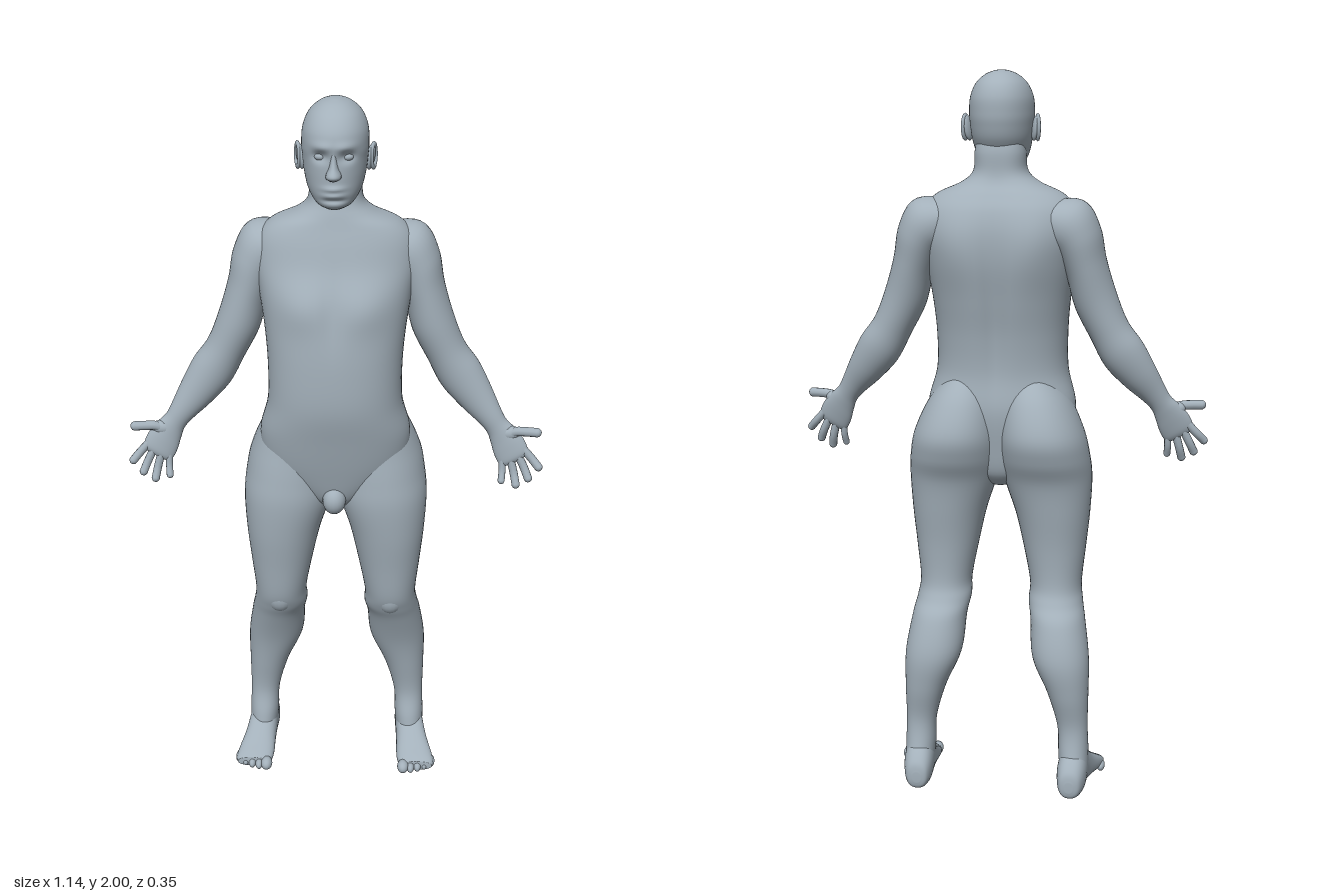
import * as THREE from 'three';

const skin = new THREE.MeshStandardMaterial({ color: 0xa3b0ba });
skin.name = 'blue grey clay';

const bell = (d, w) => Math.exp(-(d * d) / (w * w));

// Catmull-Rom blend of the station rows at parameter t
function sample(rows, t) {
  const n = rows.length - 1;
  const i = Math.min(Math.floor(t), n - 1), f = t - i;
  const a = rows[Math.max(i - 1, 0)], b = rows[i], c = rows[i + 1], d = rows[Math.min(i + 2, n)];
  return b.map((v, k) => v + 0.5 * f * (c[k] - a[k] +
    f * (2 * a[k] - 5 * v + 4 * c[k] - d[k] + f * (3 * (v - c[k]) + d[k] - a[k]))));
}

// Section shapes: each turns a station row and a direction on the ring into a point
const level = ([y, x0, x1, zf, zb], c, s) =>
  [(x0 + x1) / 2 + c * (x1 - x0) / 2, y, (zf + zb) / 2 + s * (zf - zb) / 2];
const tilted = ([x, y, z, ru, rv, deg], c, s) => {
  const t = deg * Math.PI / 180;
  return [x + c * ru * Math.cos(t), y + c * ru * Math.sin(t), z + s * rv];
};
const upright = ([z, x, hw, y0, y1], c, s) => [x + c * hw, (y0 + y1) / 2 + s * (y1 - y0) / 2, z];

// Closed smooth skin over the sections; side = -1 mirrors it
function loft(name, rows, section, { side = 1, ring = 36, steps = 6, power = 1, shape } = {}) {
  const pos = [], idx = [], count = (rows.length - 1) * steps;
  const soft = v => Math.sign(v) * Math.abs(v) ** power;
  for (let j = 0; j <= count; j++) {
    const row = sample(rows, j / steps);
    for (let i = 0; i < ring; i++) {
      const a = i / ring * Math.PI * 2;
      const p = section(row, soft(Math.cos(a)), soft(Math.sin(a)));
      if (shape) shape(p, Math.sin(a));
      pos.push(p[0] * side, p[1], p[2]);
      if (j < count) {
        const q = j * ring + i, r = j * ring + (i + 1) % ring;
        idx.push(q, r, q + ring, r, r + ring, q + ring);
      }
    }
  }
  // end caps
  for (const j of [0, count]) {
    const m = [0, 0, 0], centre = pos.length / 3;
    for (let i = 0; i < ring; i++) for (let k = 0; k < 3; k++) m[k] += pos[(j * ring + i) * 3 + k] / ring;
    pos.push(...m);
    for (let i = 0; i < ring; i++) {
      const q = j * ring + i, r = j * ring + (i + 1) % ring;
      idx.push(...(j ? [q, r, centre] : [r, q, centre]));
    }
  }
  // turn the faces outward if the enclosed volume is negative
  let volume = 0;
  const at = i => new THREE.Vector3().fromArray(pos, i * 3);
  for (let i = 0; i < idx.length; i += 3) volume += at(idx[i]).dot(at(idx[i + 1]).cross(at(idx[i + 2])));
  if (volume < 0) idx.reverse();
  const g = new THREE.BufferGeometry();
  g.setAttribute('position', new THREE.Float32BufferAttribute(pos, 3));
  g.setIndex(idx);
  g.computeVertexNormals();
  const mesh = new THREE.Mesh(g, skin);
  mesh.name = name;
  return mesh;
}

function blob(name, p, r, turn = [0, 0, 0]) {
  const mesh = new THREE.Mesh(new THREE.SphereGeometry(1, 20, 14), skin);
  mesh.name = name;
  mesh.position.set(...p);
  mesh.scale.set(...r);
  mesh.rotation.set(...turn);
  return mesh;
}

// Tapered digit with a rounded tip
function digit(name, points, r) {
  const curve = new THREE.CatmullRomCurve3(points.map(p => new THREE.Vector3(...p)));
  const g = new THREE.TubeGeometry(curve, 12, r, 10);
  const tip = new THREE.Mesh(new THREE.SphereGeometry(r, 10, 8), skin);
  tip.position.copy(curve.getPoint(1));
  tip.name = name + 'Tip';
  const mesh = new THREE.Mesh(g, skin);
  mesh.name = name;
  mesh.add(tip);
  return mesh;
}

const symmetric = rows => rows.map(([y, w, zf, zb]) => [y, -w, w, zf, zb]);

export function createModel() {
  const model = new THREE.Group();
  model.name = 'figure';

  // Trunk and neck, with chest, shoulder blades and spine groove
  model.add(loft('torso', symmetric([
    [0.88, 0.03, 0.07, -0.04], [0.92, 0.1, 0.1, -0.08], [1.0, 0.185, 0.125, -0.1],
    [1.1, 0.205, 0.15, -0.115], [1.2, 0.182, 0.172, -0.108], [1.3, 0.18, 0.175, -0.118],
    [1.4, 0.188, 0.168, -0.138], [1.5, 0.203, 0.148, -0.155], [1.58, 0.215, 0.118, -0.155],
    [1.64, 0.205, 0.1, -0.14], [1.68, 0.17, 0.087, -0.115], [1.71, 0.105, 0.078, -0.092],
    [1.74, 0.073, 0.068, -0.082], [1.79, 0.068, 0.055, -0.08], [1.83, 0.06, 0.04, -0.07],
  ]), level, {
    ring: 64, power: 0.88, shape: (p, s) => {
      const x = Math.abs(p[0]), y = p[1];
      if (s > 0) p[2] += s * (0.014 * bell(x - 0.09, 0.07) * bell(y - 1.485, 0.06) - 0.006 * bell(x, 0.02) * bell(y - 1.48, 0.1));
      else p[2] += s * (0.012 * bell(x - 0.11, 0.06) * bell(y - 1.55, 0.1) - 0.018 * bell(x, 0.03) * bell(y - 1.36, 0.25));
    },
  }));

  // Head with brow, eye sockets, cheeks and lips
  model.add(loft('head', symmetric([
    [1.737, 0.025, 0.105, 0.02], [1.75, 0.048, 0.123, -0.01], [1.78, 0.068, 0.129, -0.055],
    [1.82, 0.079, 0.131, -0.085], [1.86, 0.084, 0.132, -0.098], [1.89, 0.086, 0.135, -0.102],
    [1.93, 0.083, 0.128, -0.1], [1.965, 0.068, 0.103, -0.083], [1.988, 0.043, 0.068, -0.052],
    [1.998, 0.018, 0.036, -0.022], [2.0, 0.003, 0.016, 0],
  ]), level, {
    ring: 72, steps: 10, power: 0.95, shape: (p, s) => {
      if (s < 0) return;
      const x = Math.abs(p[0]), y = p[1];
      p[2] += s * (0.006 * bell(x - 0.03, 0.03) * bell(y - 1.9, 0.011)
        - 0.014 * bell(x - 0.035, 0.02) * bell(y - 1.875, 0.014)
        + 0.007 * bell(x, 0.026) * (bell(y - 1.795, 0.007) + bell(y - 1.778, 0.007))
        - 0.006 * bell(x, 0.03) * bell(y - 1.764, 0.006));
    },
  }));
  model.add(loft('nose', symmetric([
    [1.892, 0.008, 0.133, 0.1], [1.87, 0.009, 0.138, 0.1], [1.85, 0.012, 0.148, 0.1],
    [1.833, 0.019, 0.16, 0.1], [1.824, 0.019, 0.157, 0.1], [1.818, 0.012, 0.145, 0.1],
  ]), level, { ring: 20 }));

  // Groin
  model.add(blob('groin', [0, 0.92, 0.1], [0.032, 0.04, 0.034]));

  for (const side of [1, -1]) {
    const tag = side > 0 ? 'left' : 'right';
    const m = p => [p[0] * side, p[1], p[2]];

    // Eye and ear
    model.add(blob(tag + 'Eye', m([0.034, 1.873, 0.107]), [0.015, 0.01, 0.013]));
    model.add(blob(tag + 'Ear', m([0.09, 1.85, 0.006]), [0.009, 0.034, 0.019], [-0.15, side * -0.35, side * -0.15]));
    const rim = new THREE.Mesh(new THREE.TorusGeometry(0.018, 0.005, 8, 24), skin);
    rim.name = tag + 'EarRim';
    rim.position.set(side * 0.097, 1.852, 0.004);
    rim.rotation.set(0, side * (Math.PI / 2 - 0.35), 0);
    rim.scale.set(0.85, 1.6, 1);
    model.add(rim);

    // Shoulder, arm and palm
    model.add(loft(tag + 'Arm', [
      [0.11, 1.625, -0.04, 0.04, 0.07, 70], [0.175, 1.605, -0.04, 0.078, 0.088, 52],
      [0.212, 1.56, -0.037, 0.069, 0.088, 32], [0.234, 1.49, -0.03, 0.058, 0.08, 23],
      [0.26, 1.4, -0.022, 0.059, 0.07, 22], [0.297, 1.32, -0.02, 0.055, 0.06, 26],
      [0.337, 1.255, -0.017, 0.06, 0.055, 33], [0.38, 1.195, -0.006, 0.05, 0.044, 35],
      [0.42, 1.143, 0.009, 0.036, 0.031, 37], [0.44, 1.115, 0.016, 0.032, 0.025, 38],
      [0.457, 1.09, 0.022, 0.039, 0.022, 37], [0.474, 1.06, 0.029, 0.046, 0.019, 35],
      [0.488, 1.033, 0.035, 0.045, 0.015, 32], [0.494, 1.02, 0.037, 0.036, 0.008, 30],
    ], tilted, { side }));

    // Fingers and thumb
    const digits = {
      Index: [[0.513, 1.055, 0.033], [0.54, 1.026, 0.04], [0.557, 1.007, 0.05]],
      Middle: [[0.499, 1.04, 0.035], [0.519, 1.0, 0.042], [0.53, 0.974, 0.052]],
      Ring: [[0.479, 1.03, 0.036], [0.491, 0.985, 0.043], [0.497, 0.956, 0.055]],
      Little: [[0.458, 1.025, 0.035], [0.459, 0.99, 0.041], [0.457, 0.965, 0.052]],
      Thumb: [[0.46, 1.085, 0.025], [0.49, 1.105, 0.034], [0.518, 1.108, 0.04], [0.548, 1.108, 0.045]],
    };
    for (const [name, path] of Object.entries(digits))
      model.add(digit(tag + name, path.map(m), name === 'Thumb' ? 0.013 : name === 'Little' ? 0.0095 : 0.0115));
    model.add(blob(tag + 'ThumbBase', m([0.476, 1.098, 0.028]), [0.03, 0.02, 0.017], [0, 0, side * 0.15]));

    // Buttock, thigh, knee, calf and ankle
    model.add(loft(tag + 'Leg', [
      [1.2, 0.05, 0.13, 0.06, -0.075], [1.13, 0.015, 0.19, 0.1, -0.135],
      [1.04, 0.003, 0.233, 0.112, -0.17], [0.97, 0.002, 0.249, 0.12, -0.157],
      [0.9, 0.01, 0.255, 0.124, -0.125], [0.8, 0.042, 0.25, 0.115, -0.105],
      [0.7, 0.065, 0.24, 0.1, -0.09], [0.6, 0.084, 0.23, 0.085, -0.086],
      [0.55, 0.083, 0.235, 0.066, -0.103], [0.5, 0.092, 0.245, 0.04, -0.135],
      [0.4, 0.102, 0.26, 0, -0.16], [0.3, 0.145, 0.261, -0.025, -0.15],
      [0.2, 0.174, 0.26, -0.04, -0.13], [0.12, 0.178, 0.263, -0.025, -0.14],
      [0.06, 0.184, 0.262, -0.02, -0.16], [0.03, 0.195, 0.25, -0.04, -0.15],
    ], level, { side, ring: 44, power: 0.95 }));
    model.add(blob(tag + 'Kneecap', m([0.158, 0.585, 0.045]), [0.04, 0.05, 0.036]));

    // Foot and toes
    model.add(loft(tag + 'Foot', [
      [-0.177, 0.217, 0.012, 0.03, 0.06], [-0.168, 0.218, 0.03, 0.01, 0.09],
      [-0.13, 0.22, 0.041, 0, 0.125], [-0.07, 0.223, 0.042, 0.002, 0.135],
      [-0.02, 0.23, 0.046, 0.003, 0.096], [0.03, 0.238, 0.053, 0.001, 0.064],
      [0.06, 0.243, 0.053, 0.002, 0.047], [0.077, 0.246, 0.045, 0.008, 0.036],
    ], upright, { side, power: 0.85 }));
    for (let i = 0; i < 5; i++)
      model.add(blob(tag + 'Toe' + (i + 1), m([0.207 + i * 0.0205 - (i ? 0 : 0.002), i ? 0.017 : 0.02, 0.078 - i * i * 0.0022]),
        [i ? 0.0115 : 0.017, i ? 0.015 : 0.019, i ? 0.023 : 0.024]));
  }
  return model;
}
